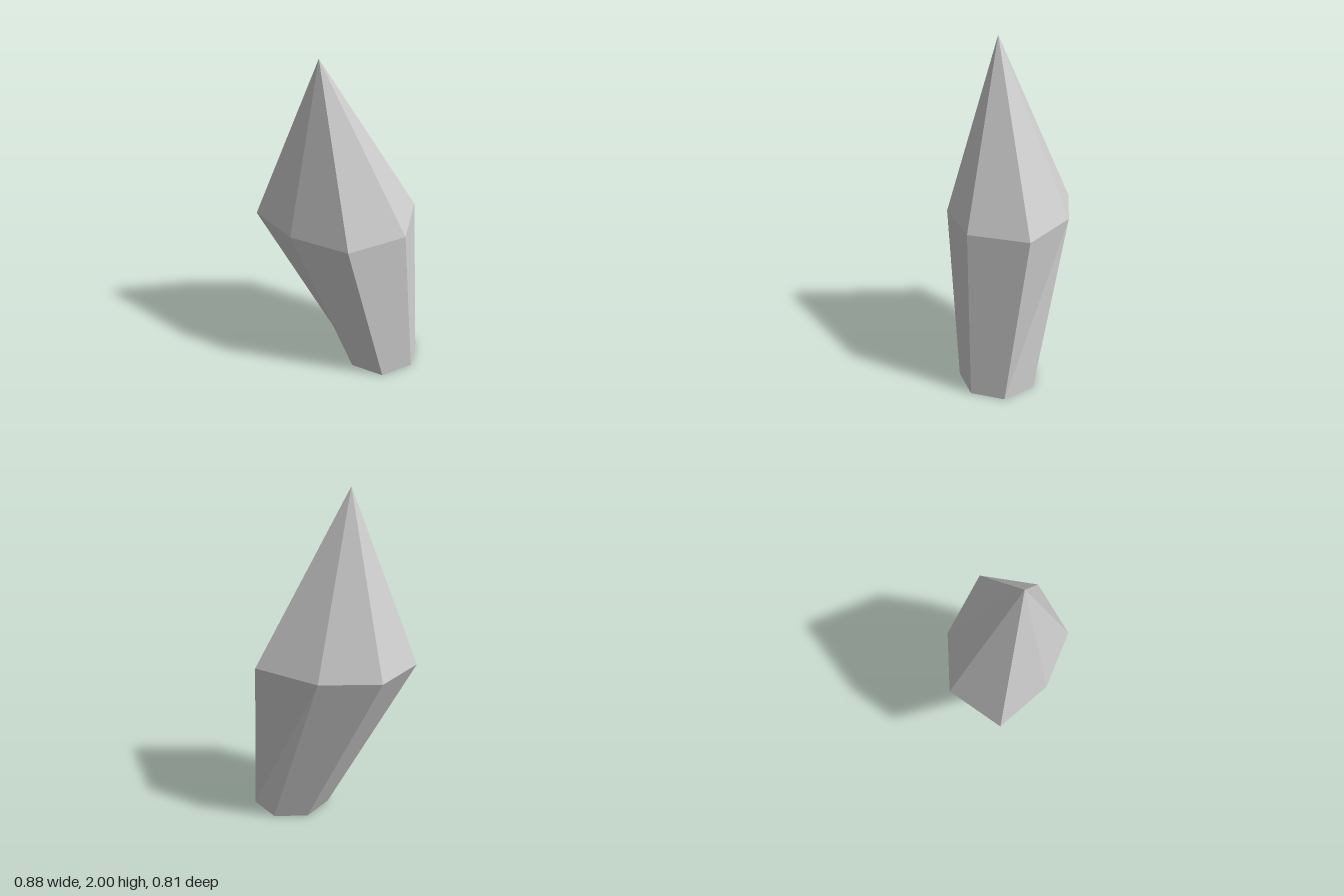
import * as THREE from 'three';

const SIDES = 7;

// Regular heptagon with one corner pointing straight back
function ring(radius, cx, y, cz) {
  return Array.from({ length: SIDES }, (_, i) => {
    const a = Math.PI + (i / SIDES) * Math.PI * 2;
    return new THREE.Vector3(cx + radius * Math.sin(a), y, cz + radius * Math.cos(a));
  });
}

function facets(name, triangles, material) {
  const geometry = new THREE.BufferGeometry().setFromPoints(triangles);
  geometry.computeVertexNormals();
  const mesh = new THREE.Mesh(geometry, material);
  mesh.name = name;
  return mesh;
}

export function createModel() {
  const group = new THREE.Group();
  group.name = 'crystal';
  const material = new THREE.MeshStandardMaterial({
    color: 0xcccccc, flatShading: true, side: THREE.DoubleSide,
  });

  const base = ring(0.239, 0.188, 0, 0.189);
  const waist = ring(0.415, 0.035, 1, 0.001);
  const apex = new THREE.Vector3(-0.15, 2, 0.04);

  // The three rear waist corners are skewed sideways and slightly down
  for (const i of [SIDES - 1, 0, 1]) waist[i].add(new THREE.Vector3(-0.153, -0.015, 0.007));

  const shaft = [], tip = [];
  for (let i = 0; i < SIDES; i++) {
    const j = (i + 1) % SIDES;
    shaft.push(base[i], base[j], waist[j], base[i], waist[j], waist[i]);
    tip.push(waist[i], waist[j], apex);
  }

  // Tapered shaft, open underneath, and pointed tip
  group.add(facets('crystalShaft', shaft, material));
  group.add(facets('crystalTip', tip, material));
  return group;
}
